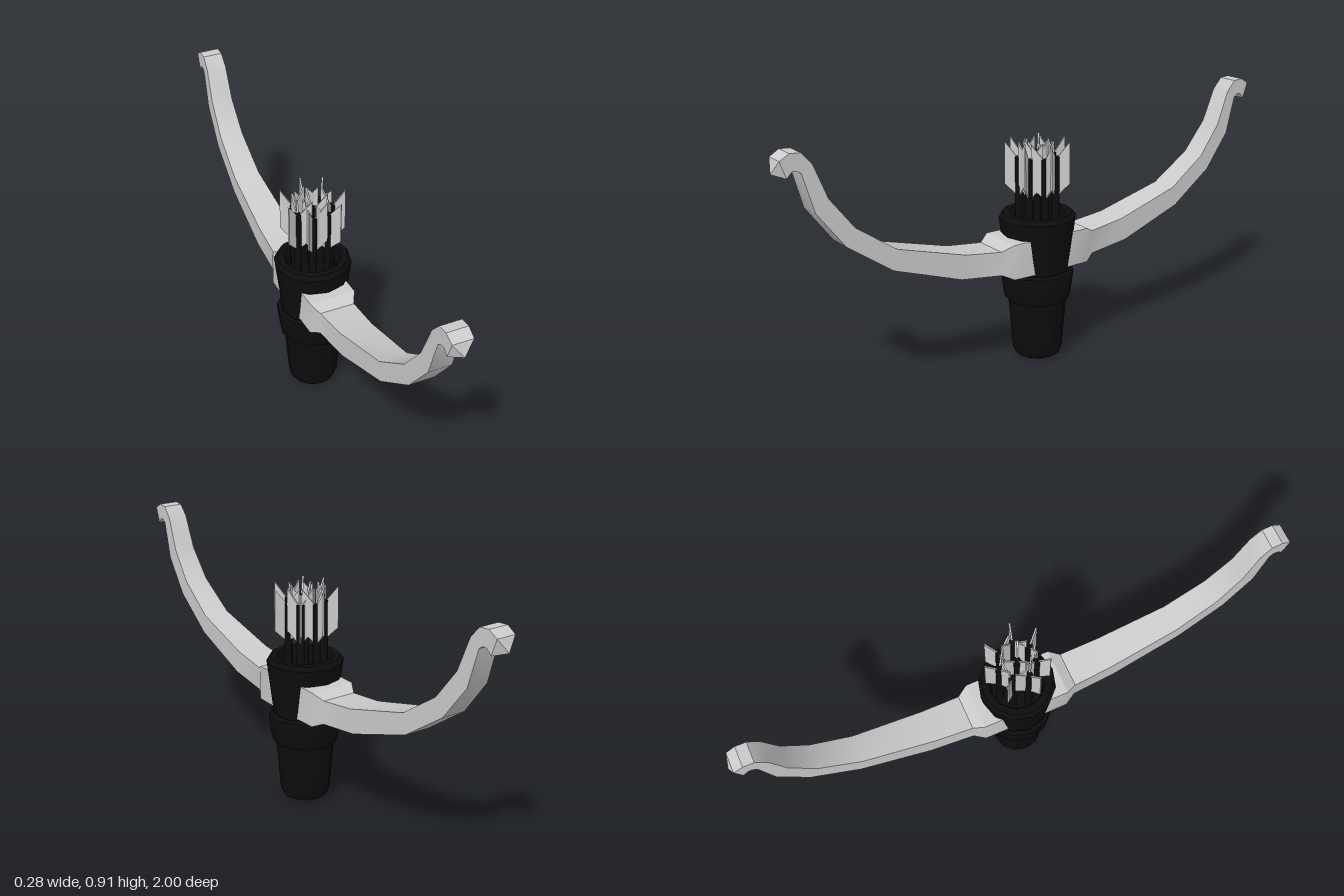
import * as THREE from 'three';
import { toCreasedNormals } from 'three/addons/utils/BufferGeometryUtils.js';

const grey = new THREE.MeshStandardMaterial({ color: 0xcccccc });
const black = new THREE.MeshStandardMaterial({ color: 0x0d0d0d });

function addMesh(parent, name, geometry, material) {
  const mesh = new THREE.Mesh(geometry, material);
  mesh.name = name;
  parent.add(mesh);
  return mesh;
}

// Turned part from [radius, height] pairs
function turned(profile) {
  const points = profile.map(([r, y]) => new THREE.Vector2(r, y));
  return toCreasedNormals(new THREE.LatheGeometry(points, 12), 0.6);
}

// Bow limb: rectangular sections [halfWidth, upperZ, upperY, lowerZ, lowerY], closed by a point
function limbGeometry(sections, apex) {
  const positions = [];
  const index = [];
  for (const [w, uz, uy, lz, ly] of sections) {
    positions.push(w, uy, uz, -w, uy, uz, -w, ly, lz, w, ly, lz);
  }
  positions.push(...apex);
  const last = sections.length - 1;
  for (let i = 0; i <= last; i++) {
    for (let j = 0; j < 4; j++) {
      const a = i * 4 + j;
      const b = i * 4 + (j + 1) % 4;
      if (i < last) index.push(a, b, a + 4, b, b + 4, a + 4);
      else index.push(a, b, sections.length * 4);
    }
  }
  const geometry = new THREE.BufferGeometry();
  geometry.setAttribute('position', new THREE.Float32BufferAttribute(positions, 3));
  geometry.setIndex(index);
  return toCreasedNormals(geometry, 0.5);
}

export function createModel() {
  const model = new THREE.Group();
  model.name = 'bowQuiver';

  // Tapered quiver with an open, thick-lipped mouth
  addMesh(model, 'quiverBody', turned([
    [0, 0.002], [0.06, 0], [0.08, 0.01], [0.09, 0.03], [0.106, 0.225], [0.114, 0.335],
    [0.138, 0.53], [0.126, 0.546], [0.102, 0.546], [0.096, 0.535], [0.092, 0.48], [0, 0.48],
  ]), black);

  // Raised collar around the middle
  addMesh(model, 'quiverCollar', turned([
    [0.1, 0.222], [0.115, 0.224], [0.121, 0.236], [0.131, 0.315], [0.129, 0.327], [0.118, 0.336], [0.1, 0.336],
  ]), black);

  // Curved limbs, front and back, starting as a wide block on the quiver
  const limb = limbGeometry([
    [0.086, 0, 0.472, 0, 0.342],
    [0.086, 0.16, 0.472, 0.16, 0.345],
    [0.065, 0.2, 0.45, 0.2, 0.364],
    [0.06, 0.342, 0.468, 0.36, 0.383],
    [0.05, 0.6, 0.54, 0.615, 0.468],
    [0.045, 0.745, 0.64, 0.78, 0.583],
    [0.041, 0.83, 0.75, 0.877, 0.71],
    [0.038, 0.877, 0.87, 0.915, 0.845],
    [0.037, 0.912, 0.91, 0.93, 0.855],
    [0.037, 0.95, 0.913, 0.945, 0.855],
    [0.036, 0.984, 0.893, 0.963, 0.835],
  ], [0, 0.847, 1]);
  addMesh(model, 'frontLimb', limb, grey);
  addMesh(model, 'backLimb', limb, grey).rotation.y = Math.PI;

  // Arrows: one in the centre and a ring around it, each with three feathers
  const shaft = new THREE.CylinderGeometry(0.014, 0.014, 0.27, 8);
  shaft.translate(0, 0.615, 0);
  const outline = new THREE.Shape([
    [0.008, 0.61], [0.05, 0.65], [0.05, 0.803], [0.008, 0.75],
  ].map(([x, y]) => new THREE.Vector2(x, y)));
  const feather = new THREE.ExtrudeGeometry(outline, { depth: 0.006, bevelEnabled: false });
  feather.translate(0, 0, -0.003);

  const ringCount = 7;
  for (let i = 0; i <= ringCount; i++) {
    const arrow = new THREE.Group();
    arrow.name = 'arrow' + (i + 1);
    const angle = (i / ringCount) * Math.PI * 2 + 0.2;
    const radius = i === ringCount ? 0 : 0.066;
    arrow.position.set(Math.cos(angle) * radius, 0, Math.sin(angle) * radius);
    arrow.rotation.y = -angle + 0.3 * Math.sin(i * 2.4);
    addMesh(arrow, 'shaft', shaft, black);
    for (let k = 0; k < 3; k++) {
      addMesh(arrow, 'feather', feather, grey).rotation.y = (k * Math.PI * 2) / 3;
    }
    model.add(arrow);
  }
  return model;
}
